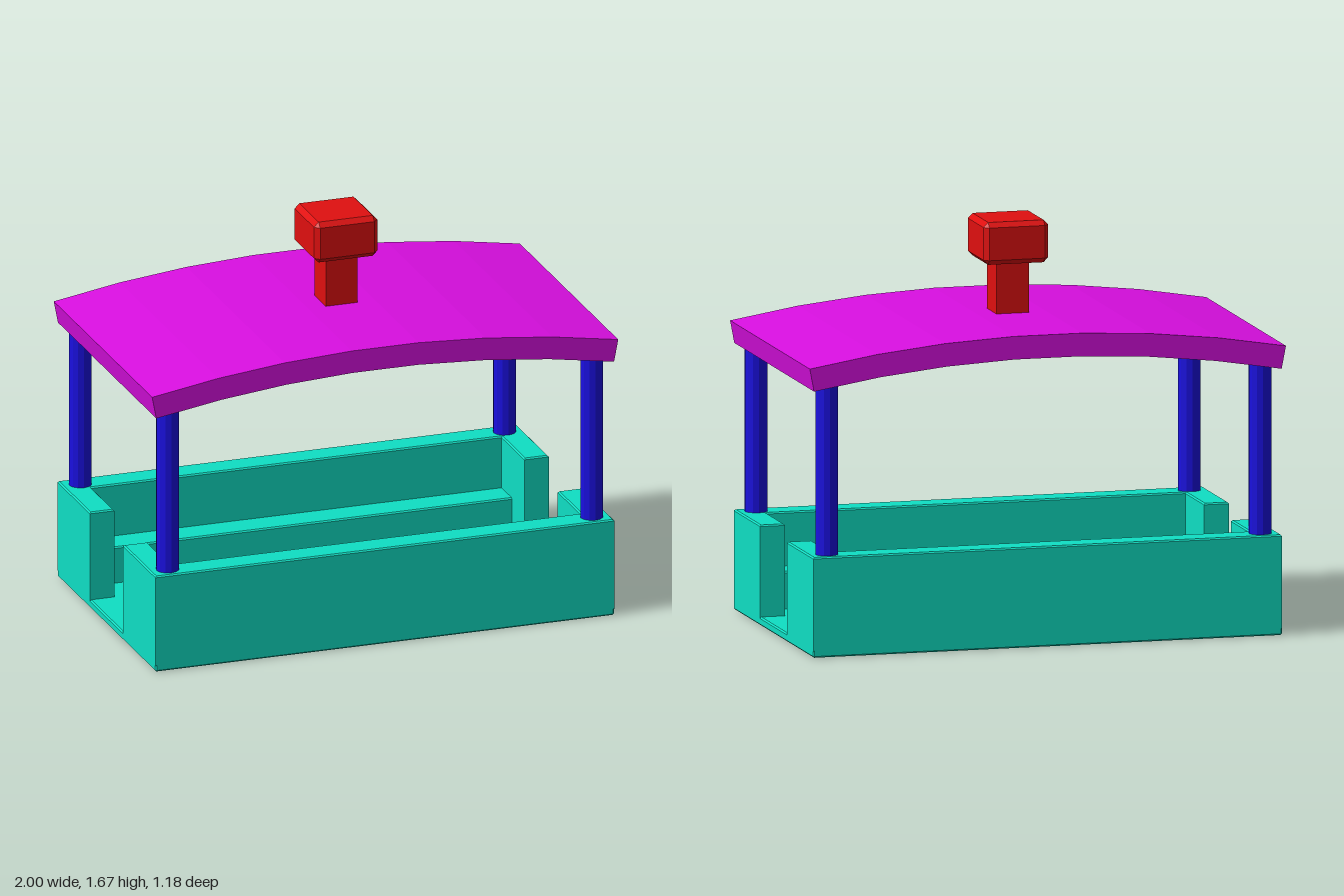
import * as THREE from 'three';
import { ConvexGeometry } from 'three/addons/geometries/ConvexGeometry.js';

const paint = (color) => new THREE.MeshStandardMaterial({ color, flatShading: true });

// Box centred on the origin with every edge chamfered by c
function chamferBox(w, h, d, c) {
  const points = [];
  for (const sx of [-1, 1]) for (const sy of [-1, 1]) for (const sz of [-1, 1]) {
    for (const [a, b, e] of [[0, c, c], [c, 0, c], [c, c, 0]]) {
      points.push(new THREE.Vector3(sx * (w / 2 - a), sy * (h / 2 - b), sz * (d / 2 - e)));
    }
  }
  return new ConvexGeometry(points);
}

export function createModel() {
  const model = new THREE.Group();
  const teal = paint(0x0fdfc4), magenta = paint(0xd80fe0);
  const blue = paint(0x1a10e0), red = paint(0xe01010);

  const add = (name, geometry, material, x = 0, y = 0, z = 0) => {
    const mesh = new THREE.Mesh(geometry, material);
    mesh.name = name;
    mesh.position.set(x, y, z);
    model.add(mesh);
    return mesh;
  };

  // Floor slab
  const X = 0.985, Z = 0.59, bevel = 0.006;
  add('floor', chamferBox(2 * X, 0.035, 2 * Z, bevel), teal, 0, 0.0175, 0);

  // C-shaped side walls with a doorway gap at both ends, and a bench inside each
  const b = bevel, endIn = X - 0.105, sideIn = Z - 0.115, gap = 0.2;
  for (const side of [1, -1]) {
    const outline = [
      [-X + b, gap + b], [-endIn - b, gap + b], [-endIn - b, sideIn + b], [endIn + b, sideIn + b],
      [endIn + b, gap + b], [X - b, gap + b], [X - b, Z - b], [-X + b, Z - b],
    ].map(([x, z]) => new THREE.Vector2(x, z * side));
    const wall = new THREE.ExtrudeGeometry(new THREE.Shape(outline), {
      depth: 0.39 - 2 * b, bevelEnabled: true, bevelThickness: b, bevelSize: b, bevelSegments: 1,
    });
    wall.translate(0, 0, b);
    wall.rotateX(-Math.PI / 2);
    const label = side === -1 ? 'front' : 'back';
    add(label + 'Wall', wall, teal, 0, 0.022, 0);
    add(label + 'Bench', chamferBox(2 * endIn + 0.02, 0.17, 0.14, bevel), teal, 0, 0.105, side * 0.42);
  }

  // Four corner posts
  const postGeometry = new THREE.CylinderGeometry(0.047, 0.047, 0.72, 12);
  for (const x of [-0.91, 0.91]) for (const z of [-0.525, 0.525]) {
    add((z > 0 ? 'front' : 'back') + (x > 0 ? 'Left' : 'Right') + 'Post', postGeometry, blue, x, 0.76, z);
  }

  // Arched roof: a faceted arc band extruded across the depth
  const R = 5.31, thickness = 0.095, half = Math.asin(1 / R), segments = 7;
  const arc = (radius) => Array.from({ length: segments + 1 }, (_, i) => {
    const a = half * (2 * i / segments - 1);
    return new THREE.Vector2(Math.sin(a) * radius, Math.cos(a) * radius - R + 1.282);
  });
  const roof = new THREE.ExtrudeGeometry(
    new THREE.Shape([...arc(R - thickness), ...arc(R).reverse()]),
    { depth: 2 * Z + 0.004, bevelEnabled: false },
  );
  add('roof', roof, magenta, 0, 0, -Z - 0.002);

  // Chimney stem and chamfered cap
  add('chimneyStem', new THREE.BoxGeometry(0.136, 0.26, 0.136), red, 0, 1.38, 0);
  add('chimneyCap', chamferBox(0.272, 0.174, 0.272, 0.02), red, 0, 1.579, 0);

  return model;
}
